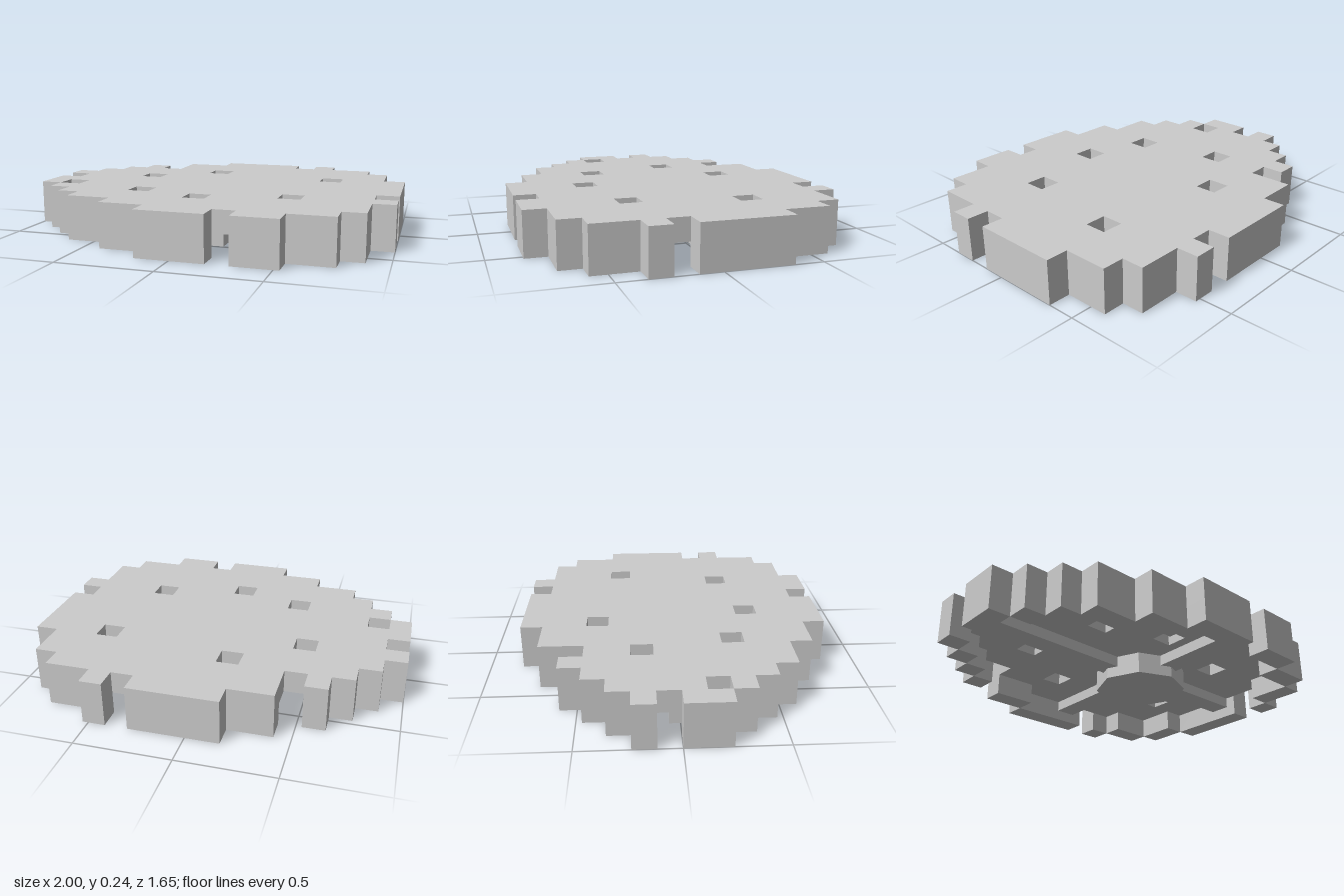
import * as THREE from 'three';

const COLS = 17, ROWS = 14, CELL = 2 / COLS;

// Plan of the slab, back row first: # is solid, . is open
const PLAN = [
  '.......####.#....',
  '.....##########..',
  '...#.###########.',
  '..#####.########.',
  '.############.###',
  '####.############',
  '.################',
  '#################',
  '#.##############.',
  '.####.######.####',
  '..######.#######.',
  '...#############.',
  '.....##########..',
  '.......###.##....',
];

// First and last column of every row before the bites and holes were taken out
const SPAN = [[7, 12], [5, 14], [3, 15], [2, 15], [1, 16], [0, 16], [0, 16],
  [0, 16], [0, 16], [1, 16], [2, 15], [3, 15], [5, 14], [7, 12]];

const NEIGHBOURS = [[1, 0], [-1, 0], [0, 1], [0, -1]];
const filled = (c, r) => r >= 0 && r < ROWS && PLAN[r][c] === '#';
const inside = (c, r) => r >= 0 && r < ROWS && c >= SPAN[r][0] && c <= SPAN[r][1];
const isRim = (c, r) => filled(c, r) && NEIGHBOURS.some(([i, j]) => !inside(c + i, r + j));

// Layer 0 is the hanging rim, layer 1 the slab
const solid = (c, y, r) => (y === 1 ? filled(c, r) : y === 0 && isRim(c, r));

// Outer faces of one layer of cells
function layerGeometry(layer) {
  const positions = [];
  const index = [];
  for (let r = 0; r < ROWS; r++) {
    for (let c = 0; c < COLS; c++) {
      if (!solid(c, layer, r)) continue;
      for (let axis = 0; axis < 3; axis++) {
        for (const sign of [-1, 1]) {
          const n = [0, 0, 0];
          n[axis] = sign;
          if (solid(c + n[0], layer + n[1], r + n[2])) continue;
          const u = (axis + 1) % 3, v = (axis + 2) % 3;
          const base = positions.length / 3;
          for (const [a, b] of [[0, 0], [1, 0], [1, 1], [0, 1]]) {
            const p = [c, layer, r];
            p[axis] += sign > 0 ? 1 : 0;
            p[u] += a;
            p[v] += b;
            positions.push((p[0] - COLS / 2) * CELL, p[1] * CELL, (p[2] - ROWS / 2) * CELL);
          }
          const order = sign > 0 ? [0, 1, 2, 0, 2, 3] : [0, 2, 1, 0, 3, 2];
          index.push(...order.map((i) => base + i));
        }
      }
    }
  }
  const geometry = new THREE.BufferGeometry();
  geometry.setAttribute('position', new THREE.Float32BufferAttribute(positions, 3));
  geometry.setIndex(index);
  const flat = geometry.toNonIndexed();
  flat.computeVertexNormals();
  return flat;
}

export function createModel() {
  const group = new THREE.Group();
  const material = new THREE.MeshStandardMaterial({ color: 0xcccccc, flatShading: true });
  const add = (name, geometry, x = 0, y = 0, z = 0) => {
    const mesh = new THREE.Mesh(geometry, material);
    mesh.name = name;
    mesh.position.set(x, y, z);
    group.add(mesh);
  };

  add('slab', layerGeometry(1));
  add('rim', layerGeometry(0));

  // Hub under the slab, with four ribs running out to the rim
  const hubX = 1.5 * CELL, hubR = 2.15 * CELL;
  add('hub', new THREE.CylinderGeometry(hubR, hubR, CELL, 8), hubX, CELL / 2, 0);

  const rib = (name, c0, c1, r0, r1) => add(name,
    new THREE.BoxGeometry((c1 - c0) * CELL, CELL / 2, (r1 - r0) * CELL),
    ((c0 + c1) / 2 - COLS / 2) * CELL, CELL * 0.75, ((r0 + r1) / 2 - ROWS / 2) * CELL);
  rib('leftRib', 11.5, 16, 6.5, 7.5);
  rib('rightRib', 1, 8.5, 6.5, 7.5);
  rib('backRib', 9.5, 10.5, 1, 5.5);
  rib('frontRib', 9.5, 10.5, 8.5, 13);

  return group;
}
